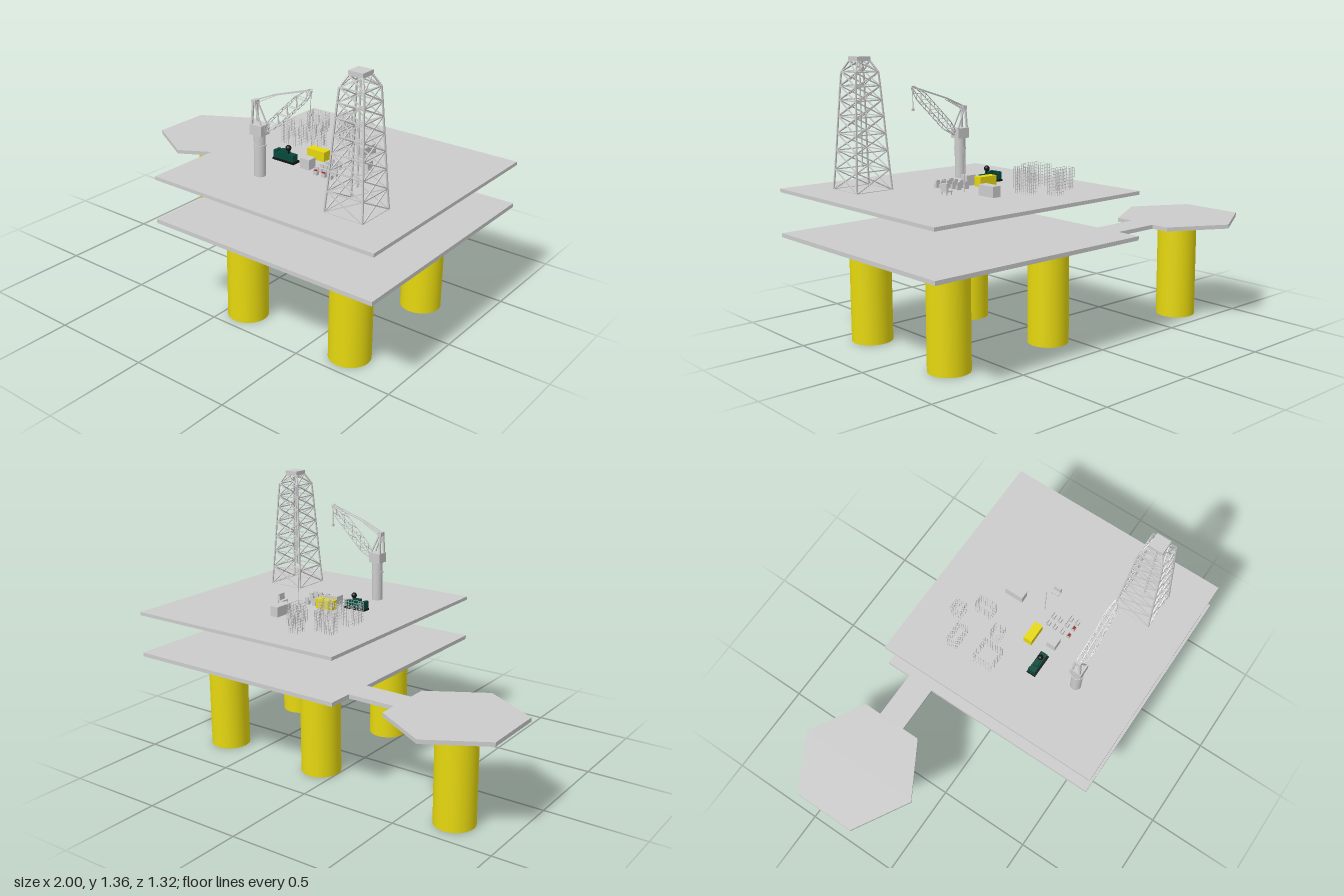
import * as THREE from 'three';
import { mergeGeometries } from 'three/addons/utils/BufferGeometryUtils.js';

const material = (color) => new THREE.MeshStandardMaterial({ color });
const grey = material(0xcccccc), yellow = material(0xe6d80f);
const green = material(0x07483a), black = material(0x111111), red = material(0xb02020);
const V = (x, y, z) => new THREE.Vector3(x, y, z);
const DECK = 0.735;

function add(parent, name, geometry, mat = grey) {
  const mesh = new THREE.Mesh(geometry, mat);
  mesh.name = name;
  parent.add(mesh);
  return mesh;
}

// Box given by its lower and upper limits on each axis
function box(x0, x1, y0, y1, z0, z1) {
  return new THREE.BoxGeometry(x1 - x0, y1 - y0, z1 - z0)
    .translate((x0 + x1) / 2, (y0 + y1) / 2, (z0 + z1) / 2);
}

function cylinder(r, y0, y1, x, z, sides = 24) {
  return new THREE.CylinderGeometry(r, r, y1 - y0, sides).translate(x, (y0 + y1) / 2, z);
}

// Square bar between two points
function bar(a, b, t = 0.005) {
  const d = b.clone().sub(a);
  const q = new THREE.Quaternion().setFromUnitVectors(V(0, 1, 0), d.clone().normalize());
  return new THREE.BoxGeometry(t, d.length(), t).applyQuaternion(q)
    .translate((a.x + b.x) / 2, (a.y + b.y) / 2, (a.z + b.z) / 2);
}

// Tapered tower with crossed bracing on four sides
function derrick() {
  const g = new THREE.Group();
  g.name = 'derrick';
  const levels = [[DECK, 0.098], [0.83, 0.091], [0.92, 0.085], [1.0, 0.08], [1.08, 0.075],
    [1.155, 0.07], [1.22, 0.066], [1.285, 0.061], [1.336, 0.034]];
  const ring = ([y, h]) => [V(h, y, h), V(-h, y, h), V(-h, y, -h), V(h, y, -h)];
  const legs = [], braces = [];
  levels.forEach((level, i) => {
    const low = ring(level), high = levels[i + 1] && ring(levels[i + 1]);
    for (let k = 0; k < 4; k++) {
      const n = (k + 1) % 4;
      braces.push(bar(low[k], low[n], 0.005));
      if (!high) continue;
      legs.push(bar(low[k], high[k], 0.007));
      braces.push(bar(low[k], high[n], 0.005), bar(low[n], high[k], 0.005));
    }
  });
  add(g, 'derrickLegs', mergeGeometries(legs));
  add(g, 'derrickBraces', mergeGeometries(braces));
  add(g, 'crownBlock', box(-0.037, 0.037, 1.335, 1.355, -0.037, 0.037));
  add(g, 'drillPipe', cylinder(0.004, 0.84, 1.335, 0, 0, 8));
  g.position.set(0.722, 0, 0.375);
  return g;
}

function crane() {
  const g = new THREE.Group();
  g.name = 'crane';
  add(g, 'pedestal', cylinder(0.027, DECK, 0.935, 0, 0));
  add(g, 'pedestalFlange', cylinder(0.031, 0.88, 0.888, 0, 0));
  add(g, 'craneCab', box(-0.034, 0.032, 0.935, 0.985, -0.03, 0.03));
  // A-frame behind the boom
  const frame = [];
  for (const s of [-1, 1]) {
    frame.push(bar(V(-0.028, 0.985, s * 0.02), V(-0.026, 1.09, s * 0.012), 0.009));
    frame.push(bar(V(0.025, 0.985, s * 0.02), V(-0.024, 1.09, s * 0.012), 0.006));
  }
  frame.push(box(-0.034, -0.012, 1.075, 1.095, -0.016, 0.016));
  add(g, 'mastFrame', mergeGeometries(frame));
  // Lattice boom, four chords joined by zigzag lacing
  const foot = V(0.032, 0.955, 0), tip = V(0.285, 1.203, 0);
  const dir = tip.clone().sub(foot), normal = V(-dir.y, dir.x, 0).normalize();
  const at = (t, u, w) => {
    const s = Math.min(1, 0.3 + t * 4, 0.3 + (1 - t) * 4);
    return foot.clone().addScaledVector(dir, t).addScaledVector(normal, u * 0.021 * s)
      .add(V(0, 0, w * 0.019 * s));
  };
  const corners = [[1, 1], [1, -1], [-1, -1], [-1, 1]], bays = 10, boom = [];
  for (let i = 0; i < bays; i++) {
    const t = i / bays, t1 = (i + 1) / bays;
    corners.forEach((c, k) => {
      const n = corners[(k + 1) % 4];
      boom.push(bar(at(t, ...c), at(t1, ...c), 0.003));
      boom.push(i % 2 ? bar(at(t, ...c), at(t1, ...n), 0.0025) : bar(at(t, ...n), at(t1, ...c), 0.0025));
    });
  }
  add(g, 'boom', mergeGeometries(boom));
  // Pendant lines and hook line
  const lines = [bar(V(0.285, 1.2, 0), V(0.285, 1.1, 0), 0.003), box(0.279, 0.291, 1.088, 1.1, -0.004, 0.004)];
  for (const z of [-0.01, 0.01]) {
    lines.push(bar(V(-0.026, 1.09, z), V(0.08, 1.137, z), 0.004), bar(V(0.08, 1.137, z), V(0.285, 1.203, z), 0.004));
    lines.push(bar(V(-0.026, 1.075, z), V(0.08, 1.13, z), 0.003));
  }
  add(g, 'craneLines', mergeGeometries(lines));
  g.position.set(0.163, 0, 0.343);
  return g;
}

// Open wire cage, a mesh panel on each side
function cage(x0, x1, z0, z1) {
  const wires = [], t = 0.0014, y1 = 0.837;
  const nx = Math.round((x1 - x0) / 0.014), nz = Math.round((z1 - z0) / 0.014);
  for (let i = 0; i <= nx; i++) {
    const x = x0 + (x1 - x0) * i / nx;
    for (const z of [z0, z1]) wires.push(bar(V(x, DECK, z), V(x, y1, z), t));
  }
  for (let i = 0; i <= nz; i++) {
    const z = z0 + (z1 - z0) * i / nz;
    for (const x of [x0, x1]) wires.push(bar(V(x, DECK, z), V(x, y1, z), t));
  }
  for (let y = DECK + 0.015; y < 0.84; y += 0.0145) {
    for (const z of [z0, z1]) wires.push(bar(V(x0, y, z), V(x1, y, z), t));
    for (const x of [x0, x1]) wires.push(bar(V(x, y, z0), V(x, y, z1), t));
  }
  return mergeGeometries(wires);
}

function equipment() {
  const g = new THREE.Group();
  g.name = 'deckEquipment';
  add(g, 'yellowContainer', box(0.21, 0.31, 0.742, 0.79, 0.008, 0.053), yellow);
  add(g, 'greyCrate', box(0.253, 0.305, DECK, 0.785, 0.113, 0.162));
  add(g, 'storeBox', box(0.377, 0.423, DECK, 0.786, -0.213, -0.113));
  add(g, 'pole', cylinder(0.002, DECK, 0.937, 0.413, 0, 8));

  // Generator on a skid with a round exhaust
  add(g, 'generatorSkid', box(0.085, 0.21, DECK, 0.744, 0.11, 0.158), black);
  add(g, 'generatorBody', box(0.105, 0.203, 0.744, 0.775, 0.116, 0.152), green);
  add(g, 'generatorHood', box(0.12, 0.165, 0.775, 0.789, 0.122, 0.146), green);
  add(g, 'generatorRadiator', box(0.088, 0.105, 0.744, 0.782, 0.114, 0.154), green);
  add(g, 'exhaustPipe', cylinder(0.005, 0.775, 0.8, 0.163, 0.136, 10), black);
  add(g, 'exhaustBall', new THREE.SphereGeometry(0.014, 16, 12).translate(0.163, 0.803, 0.136), black);

  // Rows of small seat-like units
  for (const x of [0.357, 0.402, 0.437]) for (const z of [0.06, 0.098, 0.14, 0.177]) {
    if (x > 0.43 && z < 0.12) continue;
    add(g, 'smallUnit', mergeGeometries([
      box(x - 0.011, x + 0.011, DECK, 0.755, z - 0.009, z + 0.009),
      box(x - 0.011, x + 0.011, 0.755, 0.772, z - 0.009, z - 0.003)]));
    if (z > 0.15 && x < 0.43) add(g, 'redCap', box(x - 0.008, x + 0.008, 0.755, 0.758, z - 0.002, z + 0.008), red);
  }

  // Raised cabinet on thin legs
  const stand = [box(0.502, 0.536, 0.748, 0.754, -0.021, 0.021), box(0.522, 0.534, 0.754, 0.787, -0.02, 0.02)];
  for (const x of [0.506, 0.532]) for (const z of [-0.018, 0.018]) stand.push(bar(V(x, DECK, z), V(x, 0.75, z), 0.004));
  add(g, 'cabinet', mergeGeometries(stand));

  const cages = [[-0.013, 0.088, -0.135, -0.033], [-0.013, 0.088, -0.29, -0.24],
    [0.13, 0.183, -0.368, -0.313], [0.13, 0.183, -0.135, -0.083], [0.212, 0.263, -0.28, -0.187]];
  for (const c of cages) add(g, 'wireCage', cage(...c));
  return g;
}

export function createModel() {
  const model = new THREE.Group();
  model.name = 'offshorePlatform';
  // Decks, bridge and six-sided landing pad
  add(model, 'lowerDeck', box(-0.198, 1, 0.5, 0.52, -0.537, 0.655));
  add(model, 'upperDeck', box(-0.198, 1, 0.718, DECK, -0.537, 0.655));
  add(model, 'bridge', box(-0.46, -0.198, 0.5, 0.52, -0.41, -0.27));
  const pad = add(model, 'landingPad', new THREE.CylinderGeometry(0.321, 0.321, 0.02, 6).toNonIndexed());
  pad.geometry.computeVertexNormals();
  pad.position.set(-0.722, 0.51, -0.34);
  // Supporting columns
  for (const [x, z] of [[0.1, 0.362], [0.7, 0.362], [0.1, -0.235], [0.7, -0.235], [-0.725, -0.334]]) {
    add(model, 'column', cylinder(0.099, 0, 0.5, x, z, 48), yellow);
  }
  model.add(derrick(), crane(), equipment());
  return model;
}
